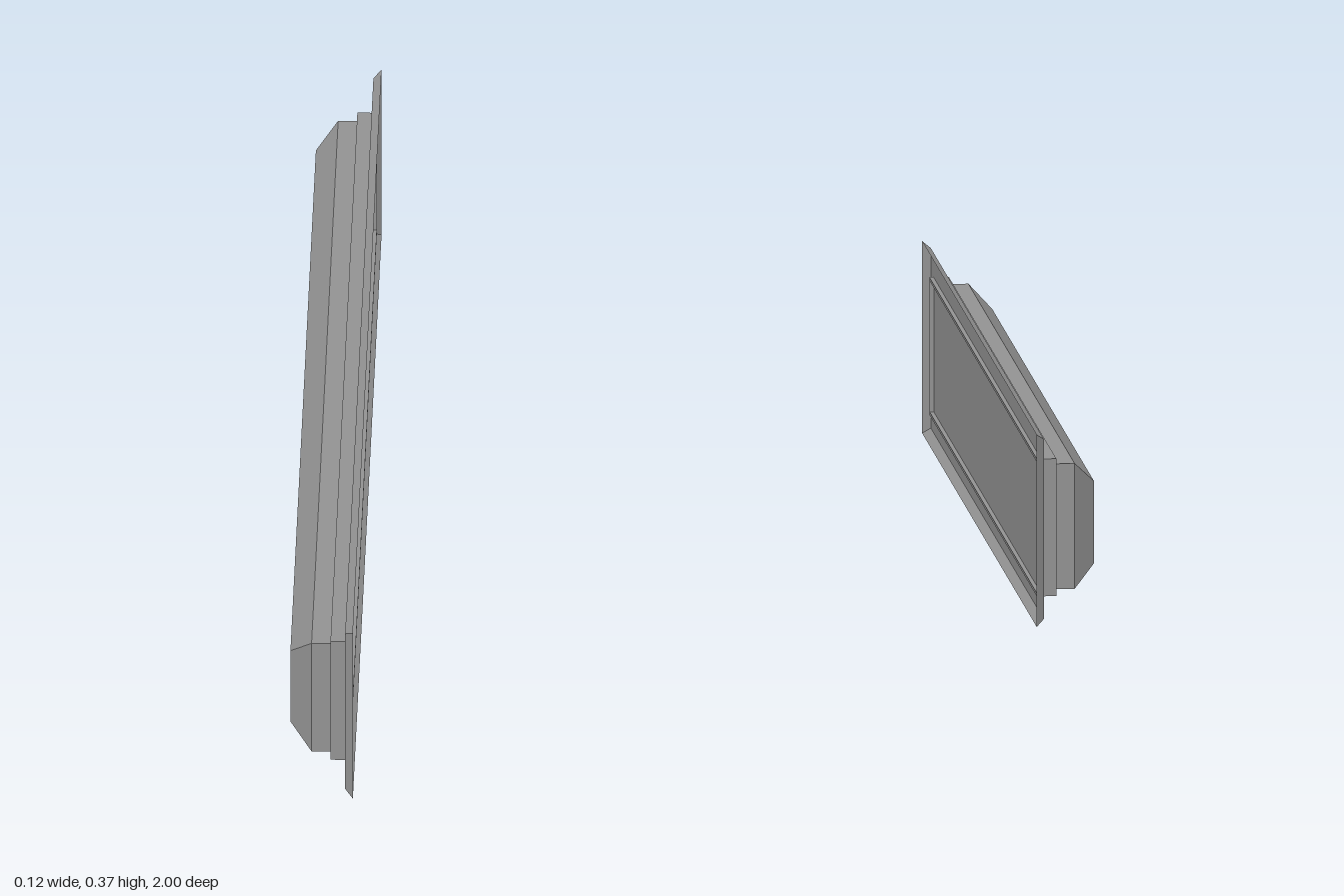
import * as THREE from 'three';

// Rectangular loop in the plane x, anticlockwise as seen from +x
const loop = (x, y0, y1, z) => [[x, y0, z], [x, y0, -z], [x, y1, -z], [x, y1, z]];

// Flat-shaded skin over successive rectangles; optional end caps
function skin(name, material, rects, capStart = false, capEnd = false) {
  const loops = rects.map((r) => loop(...r));
  const pos = [];
  const quad = (a, b, c, d) => pos.push(...a, ...b, ...c, ...a, ...c, ...d);
  for (let k = 0; k + 1 < loops.length; k++) {
    const a = loops[k], b = loops[k + 1];
    for (let i = 0; i < 4; i++) {
      const j = (i + 1) % 4;
      quad(a[i], a[j], b[j], b[i]);
    }
  }
  if (capStart) quad(...[...loops[0]].reverse());
  if (capEnd) quad(...loops[loops.length - 1]);
  const geometry = new THREE.BufferGeometry();
  geometry.setAttribute('position', new THREE.Float32BufferAttribute(pos, 3));
  geometry.computeVertexNormals();
  const mesh = new THREE.Mesh(geometry, material);
  mesh.name = name;
  return mesh;
}

export function createModel() {
  const group = new THREE.Group();
  group.name = 'recessedPanel';
  const grey = new THREE.MeshStandardMaterial({ color: 0x939393, side: THREE.DoubleSide });
  grey.name = 'grey';

  // Outlines: x, bottom, top, half length
  const body = (x) => [x, 0.058, 0.299, 0.927];
  const collar = (x) => [x, 0.047, 0.311, 0.938];
  const lip = (x) => [x, 0.053, 0.305, 0.932];

  group.add(
    // Chamfered housing at the back
    skin('housing', grey, [[-0.061, 0.099, 0.257, 0.887], body(-0.02), body(0.016)], true),
    // Stepped collar between housing and flange
    skin('collar', grey, [body(0.016), collar(0.016), collar(0.045)]),
    // Thin flared flange forming an open, shallow tray
    skin('flange', grey, [collar(0.045), [0.045, 0.012, 0.358, 0.985], [0.06, 0, 0.369, 1]]),
    // Slim raised lip framing the flat panel
    skin('lip', grey, [collar(0.045), collar(0.053), lip(0.053), lip(0.045)]),
    skin('panel', grey, [lip(0.045)], false, true),
  );
  return group;
}
